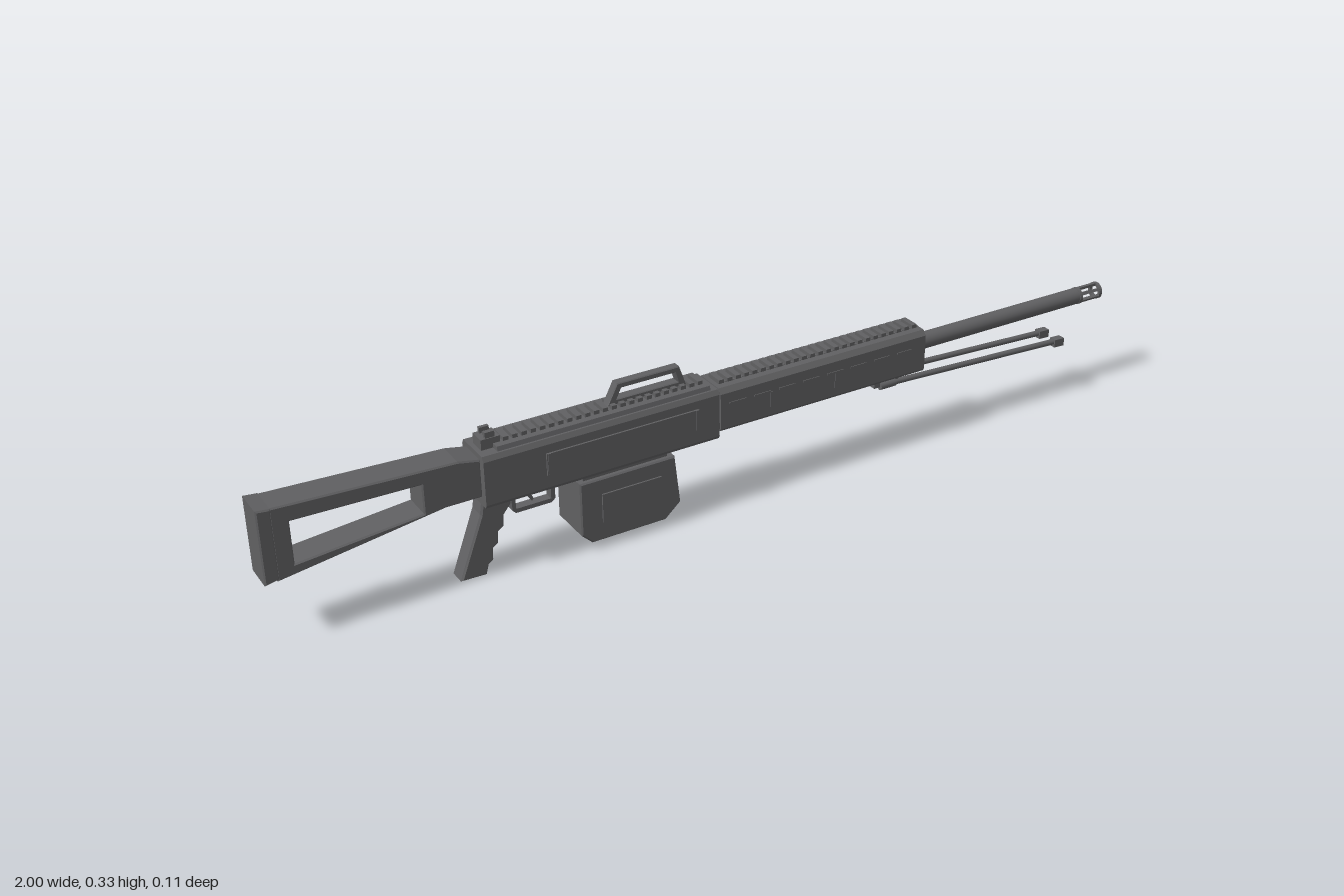
import * as THREE from 'three';

const metal = new THREE.MeshStandardMaterial({ color: 0x606062 });
metal.name = 'gunmetal grey';

export function createModel() {
  const model = new THREE.Group();

  const add = (name, geometry, x = 0, y = 0, z = 0, parent = model) => {
    const mesh = new THREE.Mesh(geometry, metal);
    mesh.name = name;
    mesh.position.set(x, y, z);
    parent.add(mesh);
    return mesh;
  };
  // box given by its x and y limits, half width and middle z
  const box = (name, x0, x1, y0, y1, half, z = 0) =>
    add(name, new THREE.BoxGeometry(x1 - x0, y1 - y0, half * 2), (x0 + x1) / 2, (y0 + y1) / 2, z);
  // side profile extruded to +-half, with small chamfers kept inside the outline
  const profile = (name, points, half, bevel = 0, holes = []) => {
    const toV = (list) => list.map(([x, y]) => new THREE.Vector2(x, y));
    const shape = new THREE.Shape(toV(points));
    shape.holes = holes.map((h) => new THREE.Path(toV(h)));
    const g = new THREE.ExtrudeGeometry(shape, {
      depth: 2 * (half - bevel), bevelEnabled: bevel > 0, bevelThickness: bevel,
      bevelSize: bevel, bevelOffset: -bevel, bevelSegments: 1, curveSegments: 6,
    });
    g.translate(0, 0, bevel - half);
    return add(name, g);
  };
  // cross-section (z, y) extruded along x
  const beam = (name, x0, x1, section) => {
    const shape = new THREE.Shape(section.map(([z, y]) => new THREE.Vector2(-z, y)));
    const g = new THREE.ExtrudeGeometry(shape, { depth: x1 - x0, bevelEnabled: false });
    g.rotateY(Math.PI / 2);
    return add(name, g, x0);
  };
  const rod = (name, radius, x0, x1, y, z = 0, sides = 24) => {
    const g = new THREE.CylinderGeometry(radius, radius, x1 - x0, sides);
    g.rotateZ(-Math.PI / 2);
    return add(name, g, (x0 + x1) / 2, y, z);
  };

  // skeleton stock and butt plate
  profile('stock', [[-0.975, 0.138], [-0.64, 0.187], [-0.565, 0.187], [-0.565, 0.268],
    [-0.61, 0.277], [-0.975, 0.292]], 0.033, 0.003,
  [[[-0.94, 0.165], [-0.94, 0.255], [-0.685, 0.25], [-0.685, 0.188]]]);
  profile('buttPlate', [[-1, 0.137], [-0.972, 0.143], [-0.972, 0.292], [-1, 0.295]], 0.035, 0.003);

  // receiver body and narrower top cover
  beam('receiver', -0.565, -0.045, [[-0.043, 0.167], [0.043, 0.167], [0.047, 0.174], [0.047, 0.268],
    [0.041, 0.278], [-0.041, 0.278], [-0.047, 0.268], [-0.047, 0.174]]);
  beam('receiverCover', -0.53, -0.06, [[-0.037, 0.277], [0.037, 0.277], [0.034, 0.287], [-0.034, 0.287]]);
  for (const s of [-1, 1]) {
    box('sidePlate', -0.435, -0.095, 0.202, 0.25, 0.0025, s * 0.0485);
    for (const x of [-0.43, -0.1]) box('sideRib', x - 0.003, x + 0.003, 0.205, 0.25, 0.001, s * 0.0515);
  }

  // handguard with chamfered corners and rows of narrow side strips
  beam('handguard', -0.04, 0.475, [[-0.04, 0.18], [0.04, 0.18], [0.043, 0.185], [0.043, 0.264],
    [0.034, 0.275], [-0.034, 0.275], [-0.043, 0.264], [-0.043, 0.185]]);
  box('handguardJoint', -0.05, -0.035, 0.185, 0.268, 0.039);
  for (const s of [-1, 1]) {
    for (let i = 0; i < 8; i++) {
      const x = -0.02 + i * 0.06;
      box('handguardStrip', x, x + 0.04, 0.238, 0.242, 0.001, s * 0.0437);
    }
    for (const x of [0.08, 0.24]) box('handguardTick', x, x + 0.004, 0.203, 0.238, 0.001, s * 0.0437);
  }

  // toothed top rails
  const rail = (x0, x1, y) => {
    box('railBase', x0, x1, y - 0.01, y, 0.017);
    const count = Math.round((x1 - x0) / 0.02);
    const step = (x1 - x0) / count;
    for (let i = 0; i < count; i++) {
      box('railTooth', x0 + i * step, x0 + (i + 0.58) * step, y, y + 0.008, 0.02);
    }
  };
  rail(-0.51, -0.06, 0.287);
  rail(-0.03, 0.475, 0.276);

  // carrying handle
  profile('carryHandle', [[-0.28, 0.29], [-0.1, 0.29], [-0.116, 0.335], [-0.257, 0.335]], 0.01, 0.002,
    [[[-0.258, 0.301], [-0.247, 0.323], [-0.126, 0.323], [-0.119, 0.301]]]);

  // rear sight
  box('sightBase', -0.555, -0.515, 0.275, 0.3, 0.018);
  for (const s of [-1, 1]) box('sightEar', -0.545, -0.525, 0.298, 0.312, 0.004, s * 0.012);
  rod('sightPost', 0.004, -0.542, -0.528, 0.304, 0, 10);

  // box magazine, its neck and side panel
  profile('magazine', [[-0.367, 0.042], [-0.343, 0.019], [-0.175, 0.019], [-0.14, 0.05],
    [-0.152, 0.16], [-0.367, 0.16]], 0.05, 0.003);
  box('magazineNeck', -0.355, -0.165, 0.15, 0.175, 0.04);
  box('magazinePanel', -0.32, -0.185, 0.06, 0.125, 0.003, 0.0505);

  // pistol grip with finger ridges
  profile('grip', [[-0.617, 0.005], [-0.562, 0.003], [-0.556, 0.025], [-0.546, 0.032],
    [-0.545, 0.058], [-0.534, 0.066], [-0.532, 0.092], [-0.52, 0.1], [-0.518, 0.125],
    [-0.502, 0.145], [-0.5, 0.172], [-0.562, 0.172], [-0.567, 0.14]], 0.021, 0.004);

  // trigger guard and trigger
  profile('triggerGuard', [[-0.498, 0.172], [-0.495, 0.122], [-0.488, 0.115], [-0.41, 0.115],
    [-0.402, 0.122], [-0.402, 0.172]], 0.01, 0,
  [[[-0.489, 0.165], [-0.487, 0.124], [-0.411, 0.124], [-0.411, 0.165]]]);
  profile('trigger', [[-0.468, 0.17], [-0.462, 0.145], [-0.45, 0.128], [-0.446, 0.132],
    [-0.453, 0.148], [-0.452, 0.17]], 0.004);

  // barrel and slotted muzzle
  const axis = 0.228;
  rod('barrelCollar', 0.024, 0.47, 0.48, axis);
  rod('barrel', 0.0185, 0.475, 0.935, axis);
  const ringShape = new THREE.Shape().absarc(0, 0, 0.0195, 0, Math.PI * 2);
  ringShape.holes = [new THREE.Path().absarc(0, 0, 0.013, 0, Math.PI * 2, true)];
  const ring = new THREE.ExtrudeGeometry(ringShape, { depth: 0.008, bevelEnabled: false });
  ring.rotateY(Math.PI / 2);
  add('muzzleRing', ring, 0.935, axis);
  add('muzzleRing', ring, 0.992, axis);
  for (let i = 0; i < 6; i++) {
    const a = (i + 0.5) * Math.PI / 3;
    const bar = add('muzzleBar', new THREE.BoxGeometry(0.055, 0.006, 0.007),
      0.967, axis + Math.sin(a) * 0.016, Math.cos(a) * 0.016);
    bar.rotation.x = Math.PI / 2 - a;
  }

  // folded bipod
  profile('bipodMount', [[0.355, 0.162], [0.4, 0.162], [0.42, 0.172], [0.45, 0.182], [0.355, 0.182]], 0.028);
  for (const s of [-1, 1]) {
    const z = s * 0.026;
    const tilt = Math.atan2(-0.022, 0.475);
    const leg = rod('bipodLeg', 0.0065, 0.385, 0.865, 0.154, z, 12);
    leg.rotation.z = tilt;
    rod('bipodHinge', 0.009, 0.37, 0.41, 0.164, z, 12);
    const foot = box('bipodFoot', 0.855, 0.882, 0.132, 0.15, 0.009, z);
    foot.rotation.z = tilt;
  }

  return model;
}
